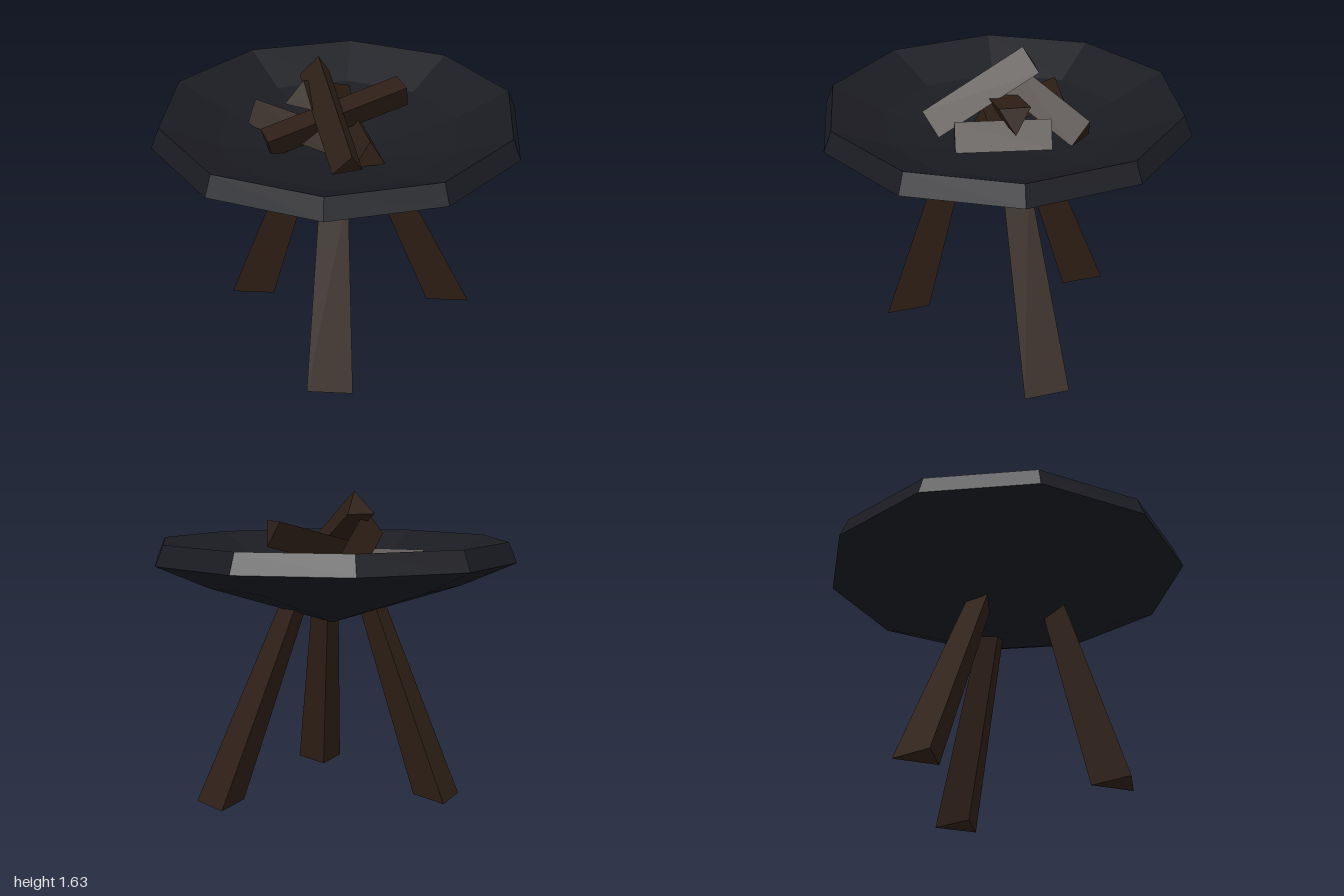
import * as THREE from 'three';

const iron = new THREE.MeshStandardMaterial({ color: 0x1b1c22, flatShading: true });
const wood = new THREE.MeshStandardMaterial({ color: 0x2f2017, flatShading: true });

function part(name, geometry, material) {
  const mesh = new THREE.Mesh(geometry, material);
  mesh.name = name;
  return mesh;
}

// Ten-sided shallow bowl: underside, rim, then the inside
function makeBowl() {
  const profile = [[0, 0.91], [0.71, 1.13], [1, 1.255], [0.955, 1.365], [0.66, 1.235], [0, 1.07]];
  const geometry = new THREE.LatheGeometry(profile.map(([r, y]) => new THREE.Vector2(r, y)), 10);
  return part('bowl', geometry, iron);
}

// Tapered three-sided leg, sheared from its foot to its top so both ends stay level
function makeLeg(name, foot, top) {
  const height = 1.04;
  const geometry = new THREE.CylinderGeometry(0.085, 0.143, height, 3);
  geometry.rotateY(Math.PI).translate(0, height / 2, 0);
  const p = geometry.attributes.position;
  for (let i = 0; i < p.count; i++) {
    const t = p.getY(i) / height;
    p.setX(i, p.getX(i) + THREE.MathUtils.lerp(foot[0], top[0], t));
    p.setZ(i, p.getZ(i) + THREE.MathUtils.lerp(foot[1], top[1], t));
  }
  return part(name, geometry, wood);
}

// Split log: triangular prism between two points, ridge up (1) or flat side up (-1)
function makeLog(from, to, ridge = 1, radius = 0.095) {
  const a = new THREE.Vector3(...from);
  const b = new THREE.Vector3(...to);
  const along = b.clone().sub(a);
  const length = along.length();
  along.normalize();
  const up = new THREE.Vector3(0, ridge, 0).projectOnPlane(along).normalize();
  const side = new THREE.Vector3().crossVectors(along, up);
  const geometry = new THREE.CylinderGeometry(radius, radius, length, 3);
  geometry.applyMatrix4(new THREE.Matrix4().makeBasis(side, along, up));
  const log = part('log', geometry, wood);
  log.position.copy(a).add(b).multiplyScalar(0.5);
  return log;
}

export function createModel() {
  const model = new THREE.Group();
  model.name = 'firePit';
  model.add(makeBowl());

  // Three splayed legs
  model.add(
    makeLeg('frontLeg', [0, 0.595], [0, 0.29]),
    makeLeg('leftLeg', [0.63, -0.345], [0.21, -0.09]),
    makeLeg('rightLeg', [-0.535, -0.345], [-0.205, -0.09]),
  );

  // Pile of logs
  const logs = new THREE.Group();
  logs.name = 'logs';
  logs.add(
    makeLog([-0.13, 1.55, -0.12], [0.08, 1.22, 0.38]),
    makeLog([-0.2, 1.44, 0.04], [0.01, 1.21, -0.43]),
    makeLog([0.34, 1.43, -0.13], [-0.37, 1.22, 0.14], -1),
    makeLog([-0.47, 1.235, -0.19], [0, 1.23, 0.12], 1, 0.085),
    makeLog([0.03, 1.2, -0.26], [0.18, 1.2, 0.23]),
  );
  model.add(logs);
  return model;
}
